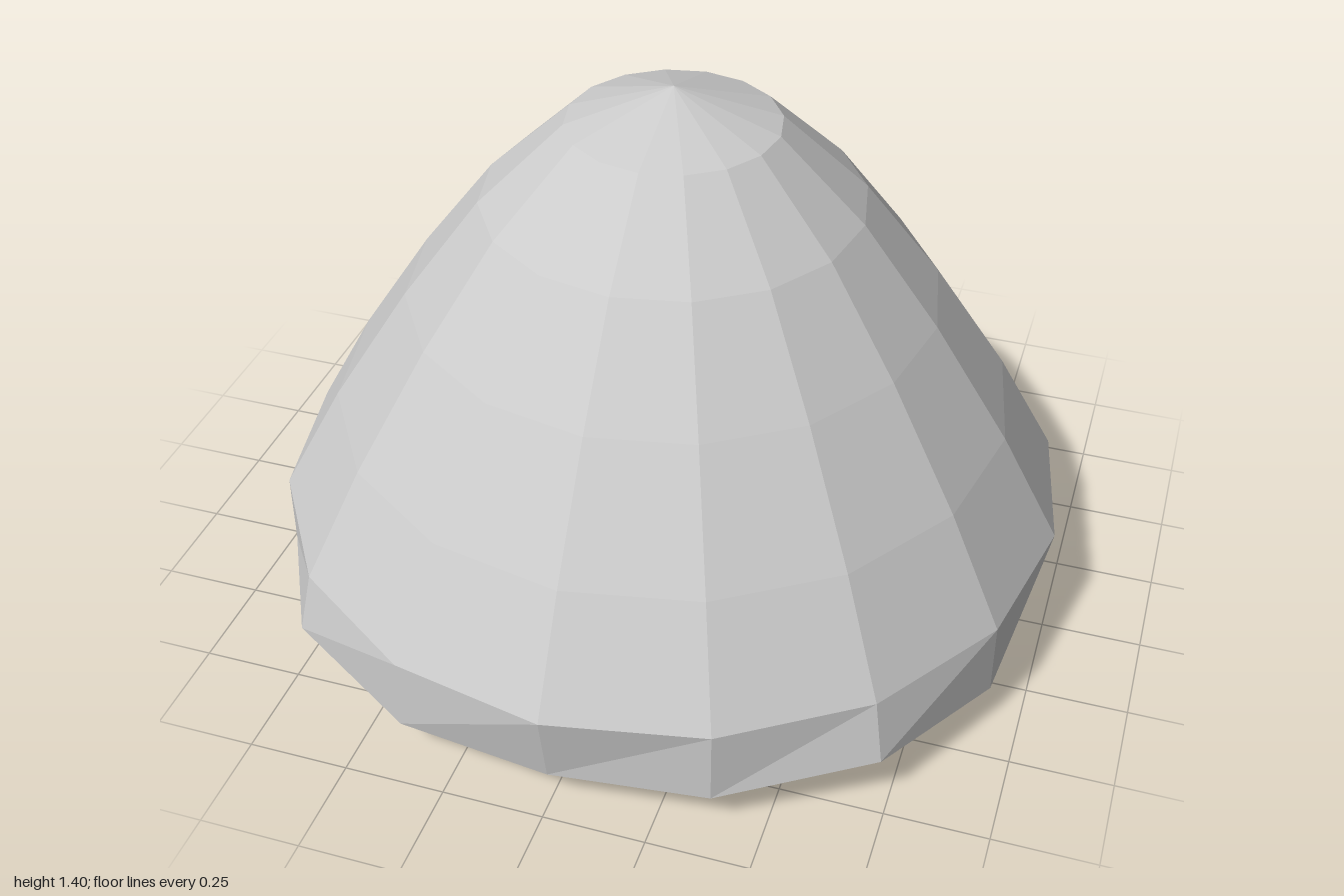
import * as THREE from 'three';

const SIDES = 16;
const material = new THREE.MeshStandardMaterial({ color: 0xcccccc, flatShading: true });

// Ring of points; radius and height may vary with the index round the ring
function ring(radius, height) {
  return Array.from({ length: SIDES }, (_, i) => {
    const a = (i / SIDES) * Math.PI * 2;
    return [radius(i) * Math.sin(a), height(i), radius(i) * Math.cos(a)];
  });
}

function meshFromQuads(name, quads) {
  const positions = [];
  for (const [a, b, c, d] of quads) positions.push(...a, ...b, ...c, ...a, ...c, ...d);
  const geometry = new THREE.BufferGeometry();
  geometry.setAttribute('position', new THREE.Float32BufferAttribute(positions, 3));
  geometry.computeVertexNormals();
  const mesh = new THREE.Mesh(geometry, material);
  mesh.name = name;
  return mesh;
}

export function createModel() {
  const group = new THREE.Group();
  group.name = 'facetedDome';

  // Bell-shaped dome, apex down to the widest ring
  const profile = [[0, 1.4], [0.26, 1.31], [0.47, 1.11], [0.66, 0.86], [0.85, 0.57], [1, 0.3]];
  const points = profile.map(([r, y]) => new THREE.Vector2(r, y)).reverse();
  const dome = new THREE.Mesh(new THREE.LatheGeometry(points, SIDES), material);
  dome.name = 'dome';
  group.add(dome);

  // Rim band: the lower edge rises and flares at the four diagonal corners
  const upper = ring(() => 1, () => 0.3);
  const lower = ring((i) => [0.96, 1.0, 1.035, 1.0][i % 4], (i) => [0.1, 0.11, 0.147, 0.11][i % 4]);
  const band = lower.map((p, i) => {
    const j = (i + 1) % SIDES;
    return [p, lower[j], upper[j], upper[i]];
  });
  group.add(meshFromQuads('rimBand', band));

  // Shallow underside: a 4 x 4 grid of facets inside the rim
  const grid = (u, v) => {
    if (Math.max(Math.abs(u), Math.abs(v)) === 2) {
      const step = Math.abs(u) === 2 ? (u > 0 ? 4 - v : 12 + v) : (v > 0 ? u : 8 - u);
      return lower[(step + SIDES) % SIDES];
    }
    if (u && v) return [u * 0.54, 0.03, v * 0.54];
    return [u * 0.57, u || v ? 0.02 : 0, v * 0.57];
  };
  const facets = [];
  for (let u = -2; u < 2; u++) {
    for (let v = -2; v < 2; v++) {
      facets.push([grid(u, v), grid(u + 1, v), grid(u + 1, v + 1), grid(u, v + 1)]);
    }
  }
  group.add(meshFromQuads('underside', facets));

  return group;
}
